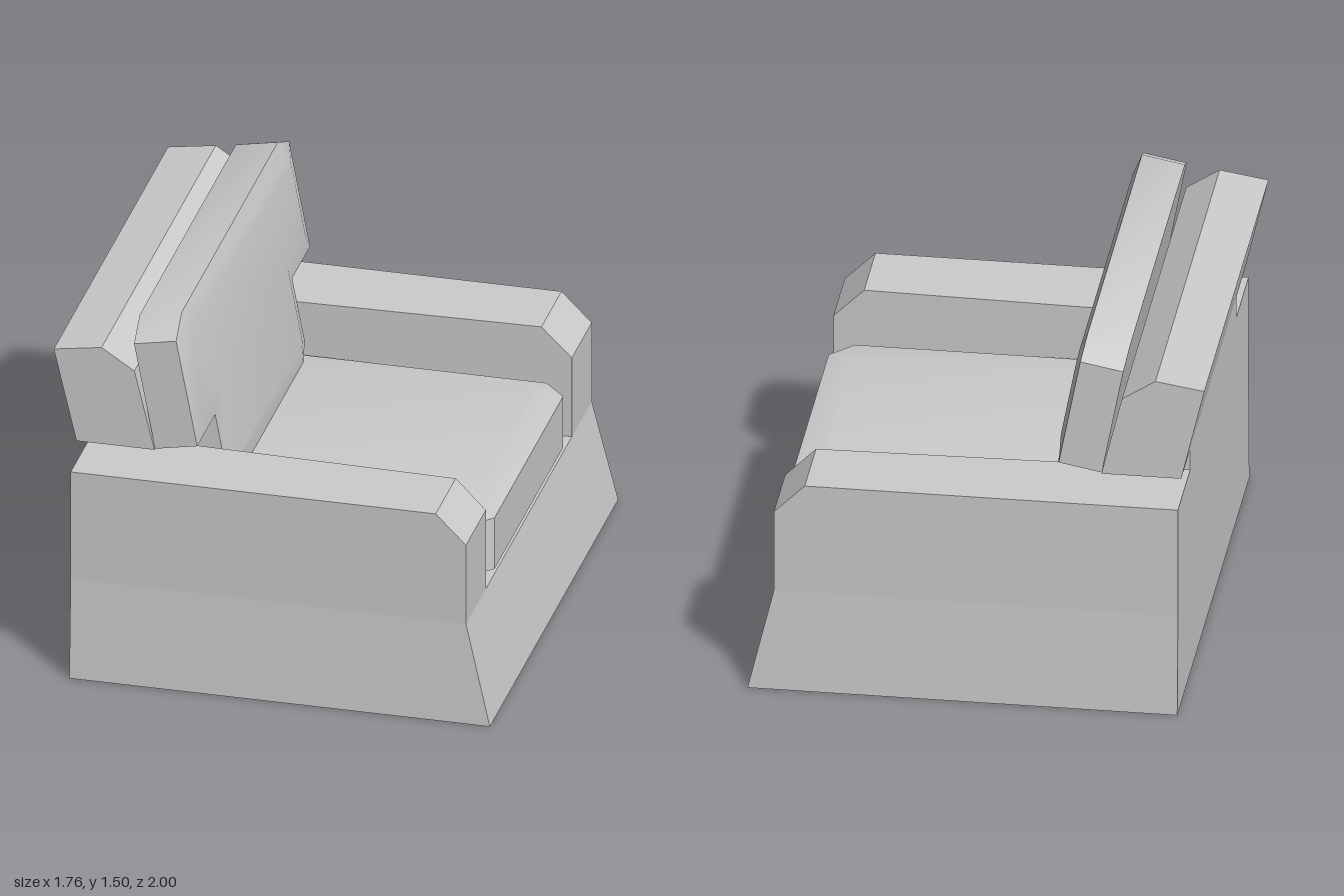
import * as THREE from 'three';
import { toCreasedNormals } from 'three/addons/utils/BufferGeometryUtils.js';

const material = new THREE.MeshStandardMaterial({ color: 0xcccccc });

function part(name, geometry) {
  const mesh = new THREE.Mesh(geometry, material);
  mesh.name = name;
  return mesh;
}

const outline = pts => new THREE.Shape(pts.map(([x, y]) => new THREE.Vector2(x, y)));

// Side profile in x/y, swept from z0 to z1
function slab(pts, z0, z1) {
  return new THREE.ExtrudeGeometry(outline(pts), { depth: z1 - z0, bevelEnabled: false }).translate(0, 0, z0);
}

// Moves every vertex by a rule
function reshape(geometry, rule) {
  const p = geometry.attributes.position;
  const v = new THREE.Vector3();
  for (let i = 0; i < p.count; i++) {
    rule(v.fromBufferAttribute(p, i));
    p.setXYZ(i, v.x, v.y, v.z);
  }
  geometry.computeVertexNormals();
  return geometry;
}

// Padded slab whose broad faces rise slightly inside a sloping border
function cushion(pts, depth, rise, border) {
  return new THREE.ExtrudeGeometry(outline(pts), {
    depth, bevelThickness: rise, bevelSize: border, bevelOffset: -border, bevelSegments: 1
  });
}

export function createModel() {
  const group = new THREE.Group();

  // Flared base with an upright back
  const base = new THREE.BoxGeometry(1.57, 0.42, 1.96).translate(-0.005, 0.21, 0);
  group.add(part('base', reshape(base, v => {
    if (v.y < 0.01) {
      v.z = Math.sign(v.z);
      if (v.x > 0) v.x = 0.88;
    }
  })));

  // Armrests with chamfered fronts and slightly splayed inner walls
  const armProfile = [[-0.79, 0.42], [0.78, 0.42], [0.78, 0.76], [0.66, 0.88], [-0.79, 0.88]];
  for (const side of [1, -1]) {
    const arm = side > 0 ? slab(armProfile, 0.65, 0.98) : slab(armProfile, -0.98, -0.65);
    reshape(arm, v => {
      if (Math.abs(v.z) < 0.8) v.z = side * (0.67 - (0.78 - v.x) * 0.025);
    });
    group.add(part(side > 0 ? 'leftArm' : 'rightArm', arm));
  }

  // Back panel between the arms, and the wider leaning section above it
  group.add(part('backPanel', slab([[-0.79, 0.42], [-0.48, 0.42], [-0.48, 0.97], [-0.79, 0.97]], -0.64, 0.64)));
  group.add(part('upperBack', slab(
    [[-0.79, 0.97], [-0.48, 0.97], [-0.56, 1.3], [-0.69, 1.385], [-0.88, 1.355]], -0.89, 0.89)));

  // Seat cushion with clipped front corners
  const seat = cushion(
    [[-0.48, -0.63], [0.69, -0.63], [0.78, -0.535], [0.78, 0.535], [0.69, 0.63], [-0.48, 0.63]],
    0.22, 0.02, 0.09);
  seat.rotateX(-Math.PI / 2).translate(0, 0.44, 0);
  group.add(part('seatCushion', toCreasedNormals(seat, 0.5)));

  // T-shaped back cushion, flat behind and tilted backwards
  const half = [[0.53, -0.33], [0.6, -0.27], [0.6, 0], [0.88, 0], [0.88, 0.45], [0.75, 0.51]];
  const tee = [...half, ...half.map(([x, y]) => [-x, y]).reverse()];
  const back = reshape(cushion(tee, 0.17, 0.018, 0.08), v => { v.z = Math.max(v.z, 0); });
  back.rotateY(Math.PI / 2);
  const backCushion = part('backCushion', toCreasedNormals(back, 0.5));
  backCushion.rotation.z = 0.187;
  backCushion.position.set(-0.48, 0.97, 0);
  group.add(backCushion);

  return group;
}
